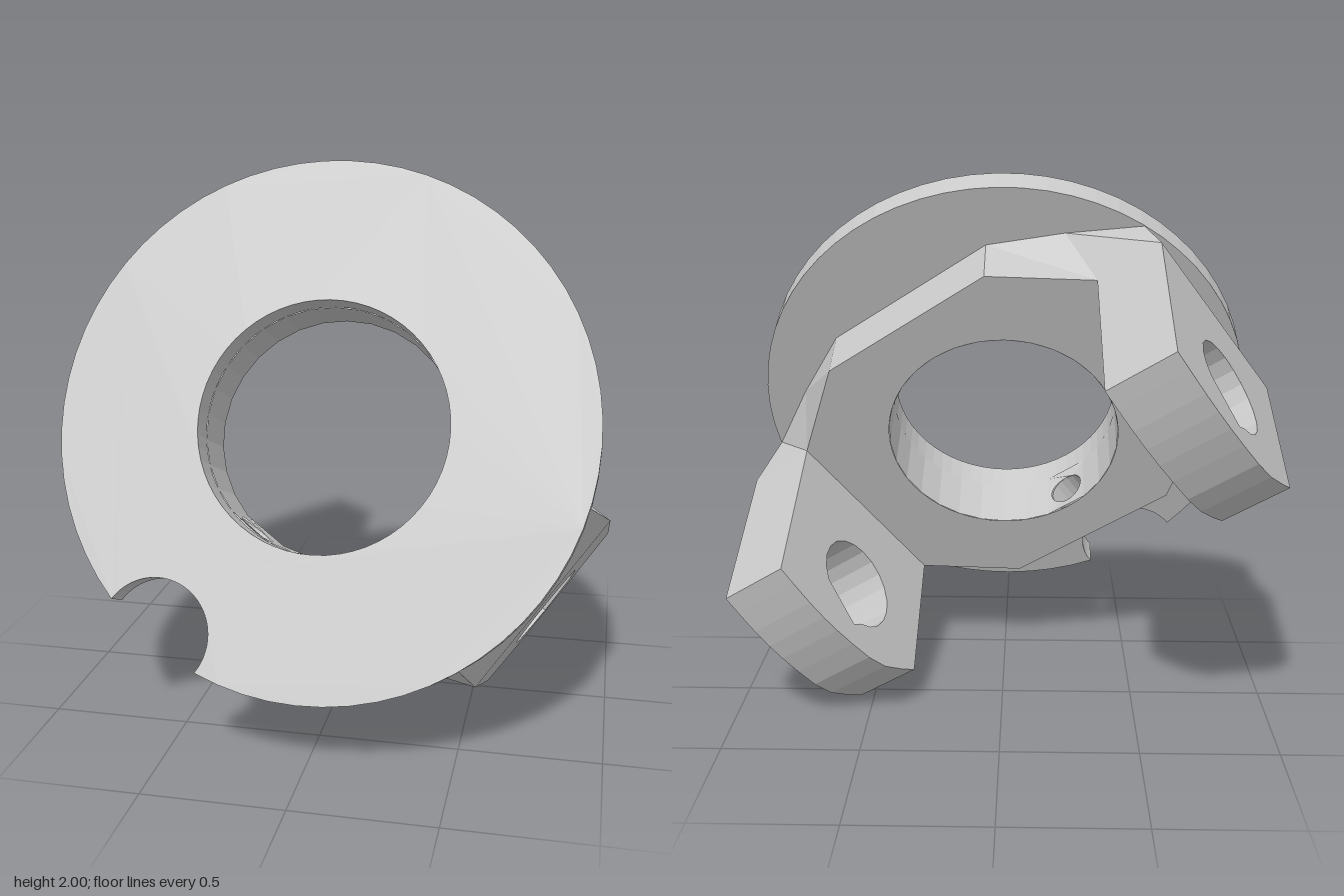
import * as THREE from 'three';

const R = 0.94, HOLE = 0.44;             // disc and centre hole radii
const DISC_BACK = -0.11, BOSS_BACK = -0.33;
const BORE = 0.07, BORE_Z = -0.22;       // small radial bore
const FLAT = 0.615, FLAT_HALF = 0.356;   // boss flats

const circlePath = (x, y, r) => new THREE.Path().absarc(x, y, r, 0, Math.PI * 2, true);

// Mirrors three quadrant points into a counter-clockwise twelve-point outline
function mirrorQuadrant(q) {
  const rev = [...q].reverse();
  return [
    ...q,
    ...rev.map(([x, y]) => [-x, y]),
    ...q.map(([x, y]) => [-x, -y]),
    ...rev.map(([x, y]) => [x, -y]),
  ];
}

export function createModel() {
  const grey = new THREE.MeshStandardMaterial({ color: 0xc8c8c8, flatShading: true, side: THREE.DoubleSide });
  grey.name = 'grey metal';

  const model = new THREE.Group();
  model.name = 'hingedFlange';
  const tilt = new THREE.Group();
  tilt.name = 'tiltedFlange';
  tilt.position.set(0, 1.145, 0.435);
  tilt.rotation.x = -0.4137;
  const part = new THREE.Group();
  part.name = 'flangeBody';
  part.rotation.z = -0.6126;
  tilt.add(part);
  model.add(tilt);

  const add = (name, geometry) => {
    const mesh = new THREE.Mesh(geometry, grey);
    mesh.name = name;
    part.add(mesh);
    return mesh;
  };

  // Disc with centre hole and a round notch in the rim
  const a = 0.2077;
  const disc = new THREE.Shape();
  disc.absarc(0, 0, R, -Math.PI / 2 + a, Math.PI * 1.5 - a, false);
  disc.absarc(0, -0.917, 0.195, Math.PI, 0, true);
  disc.holes.push(circlePath(0, 0, HOLE));
  const discGeo = new THREE.ExtrudeGeometry(disc, { depth: -DISC_BACK, bevelEnabled: false, curveSegments: 30 });
  add('disc', discGeo.translate(0, 0, DISC_BACK));

  // Boss side walls, flaring outward under the lugs
  const front = mirrorQuadrant([[0.87, 0.35], [0.62, 0.49], [FLAT_HALF, FLAT]]);
  const back = mirrorQuadrant([[0.937, 0.374], [0.674, 0.374], [FLAT_HALF, FLAT]]);
  const pos = [];
  for (let i = 0; i < 12; i++) {
    if (i === 8) continue; // the flat with the bore is made below
    const j = (i + 1) % 12;
    const f0 = [...front[i], DISC_BACK], f1 = [...front[j], DISC_BACK];
    const b0 = [...back[i], BOSS_BACK], b1 = [...back[j], BOSS_BACK];
    pos.push(...f0, ...b0, ...b1, ...f0, ...b1, ...f1);
  }
  const walls = new THREE.BufferGeometry();
  walls.setAttribute('position', new THREE.Float32BufferAttribute(pos, 3));
  walls.computeVertexNormals();
  add('bossWalls', walls);

  // Boss back face
  const cap = new THREE.Shape(back.map(([x, y]) => new THREE.Vector2(x, y)));
  cap.holes.push(circlePath(0, 0, HOLE));
  add('bossBack', new THREE.ShapeGeometry(cap, 30).rotateY(Math.PI).translate(0, 0, BOSS_BACK));

  // Flat and hole-wall panels pierced by the radial bore
  const panel = (half) => {
    const s = new THREE.Shape();
    s.moveTo(-half, BOSS_BACK);
    s.lineTo(half, BOSS_BACK);
    s.lineTo(half, DISC_BACK);
    s.lineTo(-half, DISC_BACK);
    s.holes.push(circlePath(0, BORE_Z, BORE));
    return new THREE.ShapeGeometry(s, 16);
  };
  add('boredFlat', panel(FLAT_HALF).rotateX(Math.PI / 2).scale(1, 1, 1).translate(0, -FLAT, 0));

  const span = 0.2;
  const inner = panel(span * HOLE);
  const p = inner.attributes.position;
  for (let i = 0; i < p.count; i++) {
    const ang = -Math.PI / 2 + p.getX(i) / HOLE;
    p.setXYZ(i, HOLE * Math.cos(ang), HOLE * Math.sin(ang), p.getY(i));
  }
  inner.computeVertexNormals();
  add('boredHoleWall', inner);

  // Rest of the centre hole wall
  const depth = DISC_BACK - BOSS_BACK;
  add('holeWall', new THREE.CylinderGeometry(HOLE, HOLE, depth, 28, 1, true, span, Math.PI * 2 - 2 * span)
    .rotateX(Math.PI / 2).translate(0, 0, (DISC_BACK + BOSS_BACK) / 2));

  // Radial bore
  const boreLen = FLAT - HOLE;
  add('radialBore', new THREE.CylinderGeometry(BORE, BORE, boreLen, 16, 1, true)
    .translate(0, -(FLAT + HOLE) / 2, BORE_Z));

  // Hinge lugs with a rounded end and a pointed pin hole
  const v = (x, y) => new THREE.Vector2(x, y);
  const end = new THREE.SplineCurve([
    v(-0.374, -0.905), v(-0.19, -1.017), v(0.017, -1.038), v(0.19, -1.027), v(0.374, -0.99),
  ]).getPoints(9);
  const lug = new THREE.Shape([v(0.374, BOSS_BACK), v(-0.374, BOSS_BACK), ...end]);
  const pin = [];
  for (let i = 0; i <= 16; i++) {
    const t = -0.6 + (5.03 * i) / 16;
    pin.push(v(-0.005 + 0.178 * Math.cos(t), -0.745 + 0.178 * Math.sin(t)));
  }
  pin.push(v(-0.02, -0.945));
  lug.holes.push(new THREE.Path(pin));
  const basis = new THREE.Matrix4().makeBasis(
    new THREE.Vector3(0, 1, 0), new THREE.Vector3(0, 0, 1), new THREE.Vector3(1, 0, 0));
  for (const [name, x] of [['leftLug', 0.674], ['rightLug', -0.937]]) {
    const g = new THREE.ExtrudeGeometry(lug, { depth: 0.263, bevelEnabled: false });
    add(name, g.applyMatrix4(basis).translate(x, 0, 0));
  }

  return model;
}
